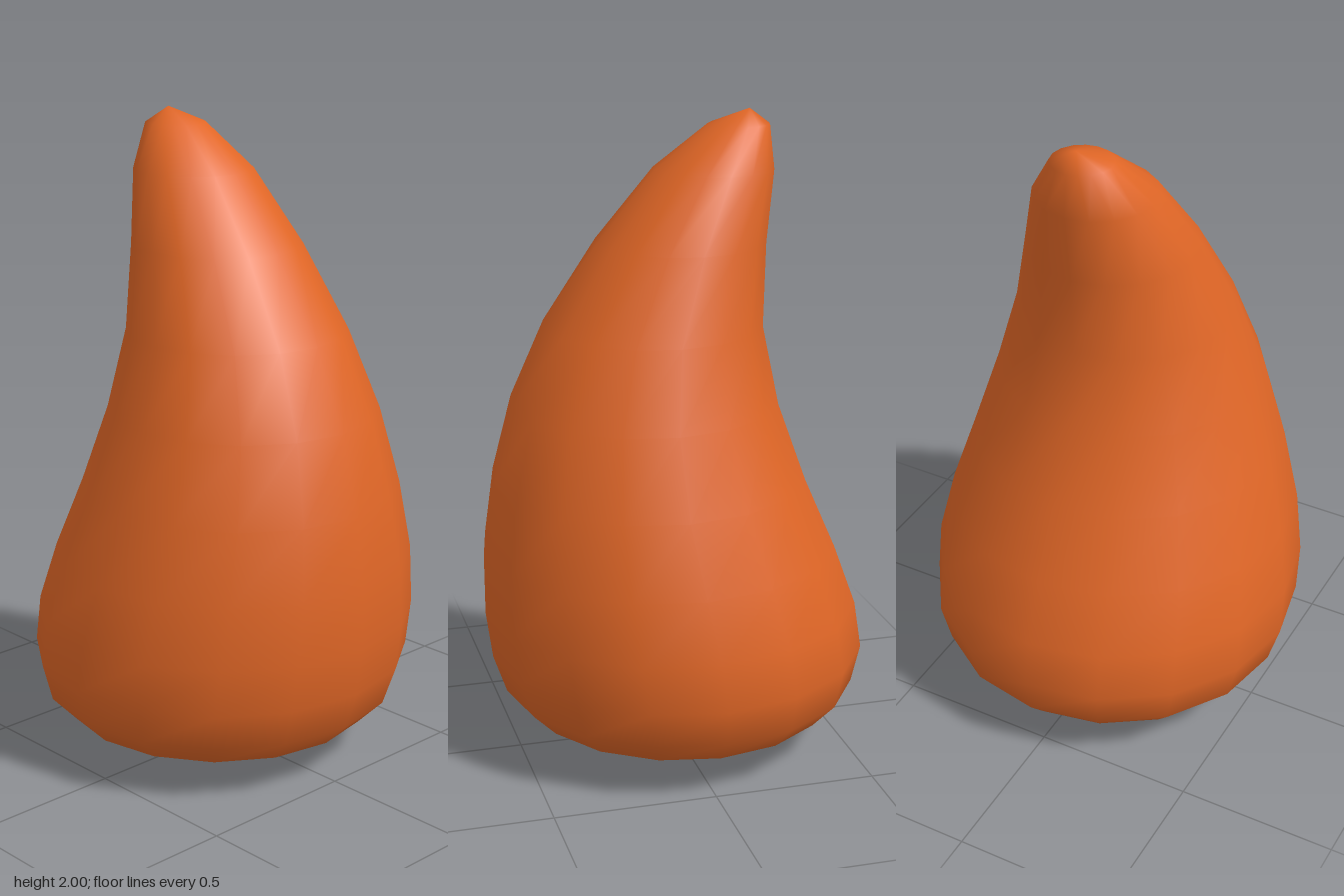
import * as THREE from 'three';

const SIDES = 16;

// Horizontal rings: [height, radius, z of centre]
const RINGS = [
  [0.03, 0.25, -0.02], [0.075, 0.39, -0.025], [0.12, 0.48, -0.02],
  [0.2, 0.557, -0.017], [0.32, 0.591, -0.01], [0.47, 0.589, 0.012],
  [0.66, 0.554, 0.047], [0.88, 0.49, 0.08], [1.12, 0.415, 0.092],
  [1.36, 0.337, 0.063], [1.61, 0.26, -0.025], [1.825, 0.183, -0.128],
  [1.955, 0.093, -0.207],
];
const BASE = [0, 0.005, -0.02];
const TIP = [0, 2, -0.24];

// Smooth skin over the rings, closed by a point at each end
function hornGeometry() {
  const positions = [];
  const indices = [];
  for (const [y, r, z] of RINGS) {
    for (let i = 0; i < SIDES; i++) {
      const a = (i / SIDES) * Math.PI * 2;
      positions.push(r * Math.sin(a), y, z + r * Math.cos(a));
    }
  }
  const base = RINGS.length * SIDES;
  const tip = base + 1;
  const last = base - SIDES;
  positions.push(...BASE, ...TIP);

  for (let i = 0; i < SIDES; i++) {
    const j = (i + 1) % SIDES;
    for (let k = 0; k < last; k += SIDES) {
      indices.push(k + i, k + j, k + SIDES + j, k + i, k + SIDES + j, k + SIDES + i);
    }
    indices.push(base, j, i, last + i, last + j, tip);
  }

  const geometry = new THREE.BufferGeometry();
  geometry.setAttribute('position', new THREE.Float32BufferAttribute(positions, 3));
  geometry.setIndex(indices);
  geometry.computeVertexNormals();
  return geometry;
}

export function createModel() {
  const group = new THREE.Group();
  group.name = 'curvedHorn';

  const orange = new THREE.MeshStandardMaterial({ color: 0xe06626 });
  orange.name = 'orange';

  const horn = new THREE.Mesh(hornGeometry(), orange);
  horn.name = 'horn';
  group.add(horn);
  return group;
}
